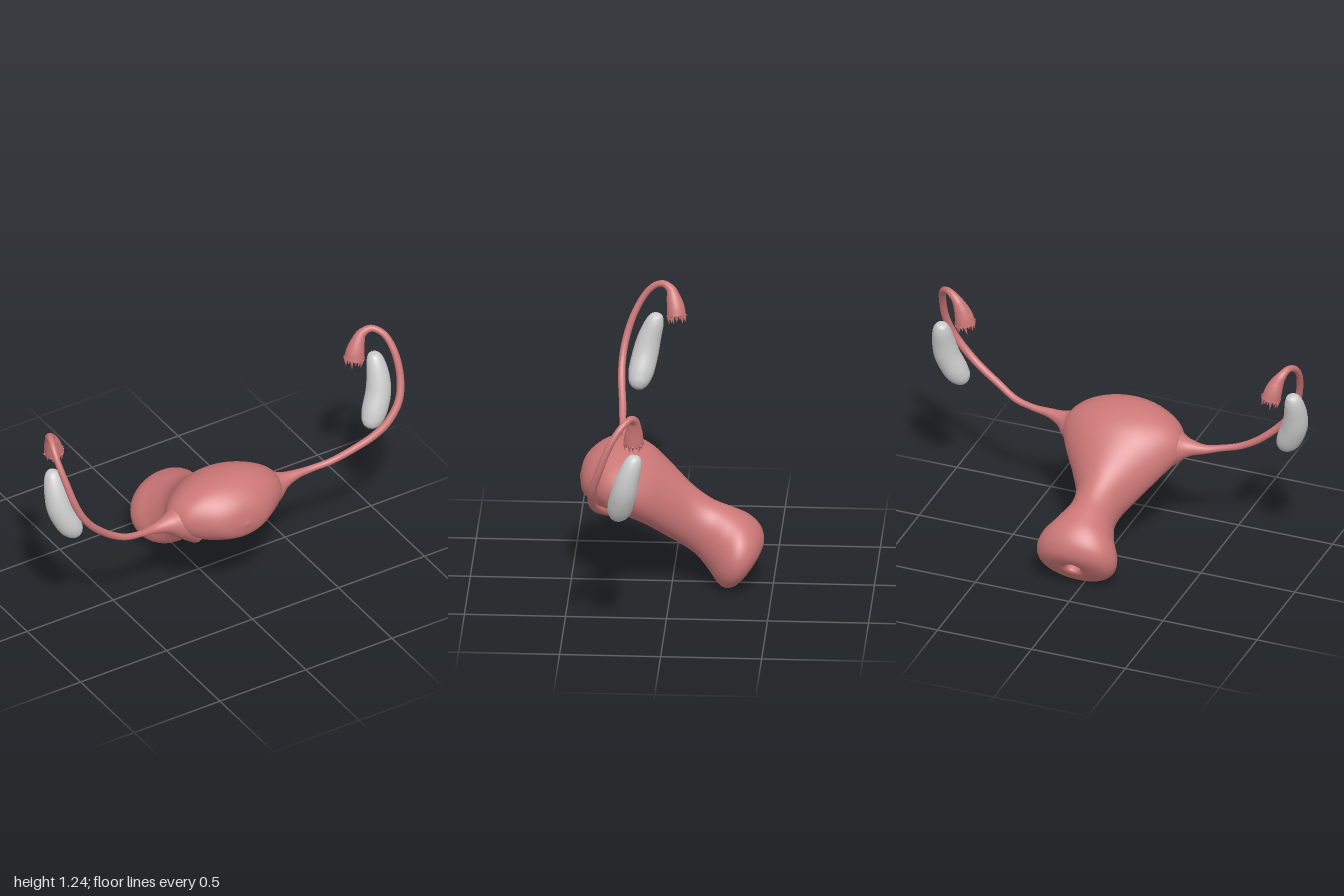
import * as THREE from 'three';
import { mergeVertices } from 'three/addons/utils/BufferGeometryUtils.js';

const pink = new THREE.MeshStandardMaterial({ color: 0xcc7777, side: THREE.DoubleSide });
const grey = new THREE.MeshStandardMaterial({ color: 0xcccccc });

// Smooth curve whose parameter runs evenly over its control points
function spline(points) {
  const c = new THREE.CatmullRomCurve3(points.map(p => new THREE.Vector3(...p)), false, 'catmullrom', 0.5);
  c.getPointAt = (t, v) => c.getPoint(t, v);
  c.getTangentAt = (t, v) => c.getTangent(t, v);
  return c;
}

function mesh(name, geometry, material) {
  const m = new THREE.Mesh(geometry, material);
  m.name = name;
  return m;
}

// Tube of changing thickness; every control point is [x, y, z, radius]
function sweep(points, steps, sides) {
  const path = spline(points.map(p => p.slice(0, 3)));
  const radius = spline(points.map(p => [p[3], 0, 0]));
  const geo = new THREE.TubeGeometry(path, steps, 1, sides, false);
  const pos = geo.attributes.position, nor = geo.attributes.normal;
  const n = new THREE.Vector3();
  for (let i = 0; i < pos.count; i++) {
    const t = Math.floor(i / (sides + 1)) / steps;
    const r = Math.max(0.0005, radius.getPoint(t).x);
    const p = path.getPoint(t).addScaledVector(n.fromBufferAttribute(nor, i), r);
    pos.setXYZ(i, p.x, p.y, p.z);
  }
  geo.deleteAttribute('uv');
  geo.deleteAttribute('normal');
  const welded = mergeVertices(geo, 1e-5);
  welded.computeVertexNormals();
  return welded;
}

// Body and neck: elliptical sections [topZ, topY, bottomZ, bottomY, halfWidth, centreX]
function bodyGeometry() {
  const s = [
    [0.458, 0.556, 0.458, 0.554, 0.004, 0],
    [0.435, 0.64, 0.44, 0.485, 0.12, 0],
    [0.38, 0.7, 0.39, 0.445, 0.21, 0],
    [0.3, 0.735, 0.33, 0.42, 0.285, 0],
    [0.2, 0.733, 0.22, 0.385, 0.315, 0],
    [0.1, 0.695, 0.13, 0.335, 0.27, 0],
    [0, 0.61, 0.04, 0.27, 0.195, 0],
    [-0.1, 0.515, -0.05, 0.21, 0.13, 0.005],
    [-0.2, 0.445, -0.12, 0.16, 0.118, 0.012],
    [-0.3, 0.405, -0.18, 0.09, 0.155, 0.022],
    [-0.38, 0.365, -0.22, 0.035, 0.2, 0.027],
    [-0.435, 0.31, -0.255, 0.007, 0.205, 0.027],
    [-0.455, 0.25, -0.3, 0.012, 0.17, 0.027],
    [-0.445, 0.2, -0.345, 0.055, 0.1, 0.027],
    // opening folded into the neck
    [-0.41, 0.16, -0.365, 0.095, 0.045, 0.027],
    [-0.36, 0.165, -0.33, 0.12, 0.03, 0.027],
    [-0.3, 0.19, -0.295, 0.185, 0.004, 0.027],
  ];
  const top = spline(s.map(a => [0, a[1], a[0]]));
  const bottom = spline(s.map(a => [0, a[3], a[2]]));
  const width = spline(s.map(a => [a[4], a[5], 0]));
  const rings = 128, sides = 64, pos = [], index = [];
  for (let i = 0; i <= rings; i++) {
    const t = i / rings, T = top.getPoint(t), B = bottom.getPoint(t), w = width.getPoint(t);
    const c = T.clone().add(B).multiplyScalar(0.5), h = T.clone().sub(B).multiplyScalar(0.5);
    for (let j = 0; j < sides; j++) {
      const a = (j / sides) * Math.PI * 2;
      pos.push(w.y + w.x * Math.sin(a), c.y + h.y * Math.cos(a), c.z + h.z * Math.cos(a));
      if (i === rings) continue;
      const k = i * sides + j, k1 = i * sides + (j + 1) % sides;
      index.push(k, k1, k + sides, k1, k1 + sides, k + sides);
    }
  }
  const geo = new THREE.BufferGeometry();
  geo.setAttribute('position', new THREE.Float32BufferAttribute(pos, 3));
  geo.setIndex(index);
  geo.computeVertexNormals();
  return geo;
}

// Ragged fringe of little fingers round the mouth of a tube
function fringe(points) {
  const g = new THREE.Group();
  g.name = 'fringe';
  const e = points[points.length - 1], p = points[points.length - 2];
  g.position.set(e[0], e[1], e[2]);
  const dir = new THREE.Vector3(e[0] - p[0], e[1] - p[1], e[2] - p[2]).normalize();
  g.quaternion.setFromUnitVectors(new THREE.Vector3(0, -1, 0), dir);
  const mouth = mesh('mouth', new THREE.SphereGeometry(e[3], 24, 12), pink);
  mouth.scale.y = 0.25;
  g.add(mouth);
  const count = 16;
  for (let i = 0; i < count; i++) {
    const a = (i / count) * Math.PI * 2, len = 0.035 + 0.014 * Math.sin(i * 2.4);
    const finger = mesh('finger', new THREE.ConeGeometry(0.009, len, 8), pink);
    const r = e[3] * 0.9;
    finger.position.set(Math.cos(a) * r, -len * 0.42, Math.sin(a) * r);
    finger.rotation.set(Math.PI + 0.2 * Math.sin(i * 3.1), 0, 0.2 * Math.cos(i * 1.7));
    g.add(finger);
  }
  return g;
}

export function createModel() {
  const model = new THREE.Group();
  model.name = 'uterus';
  model.add(mesh('body', bodyGeometry(), pink));

  // Tubes differ a little from side to side
  const tubes = {
    left: [
      [0.2, 0.55, 0.235, 0.13], [0.28, 0.555, 0.24, 0.085], [0.34, 0.57, 0.248, 0.043],
      [0.41, 0.583, 0.255, 0.024], [0.5, 0.59, 0.262, 0.017], [0.6, 0.607, 0.28, 0.017],
      [0.7, 0.655, 0.31, 0.018], [0.8, 0.71, 0.335, 0.019], [0.88, 0.775, 0.347, 0.02],
      [0.95, 0.87, 0.338, 0.02], [0.981, 0.98, 0.305, 0.019], [0.98, 1.1, 0.26, 0.018],
      [0.955, 1.19, 0.205, 0.017], [0.907, 1.224, 0.16, 0.017], [0.86, 1.2, 0.14, 0.024],
      [0.835, 1.155, 0.14, 0.036], [0.82, 1.11, 0.143, 0.046], [0.813, 1.07, 0.145, 0.05],
    ],
    right: [
      [-0.2, 0.54, 0.235, 0.13], [-0.28, 0.55, 0.24, 0.085], [-0.34, 0.555, 0.243, 0.046],
      [-0.42, 0.56, 0.248, 0.024], [-0.5, 0.575, 0.265, 0.017], [-0.6, 0.602, 0.28, 0.017],
      [-0.7, 0.66, 0.287, 0.018], [-0.8, 0.75, 0.298, 0.018], [-0.86, 0.83, 0.297, 0.018],
      [-0.9, 0.92, 0.283, 0.018], [-0.927, 1.03, 0.25, 0.017], [-0.943, 1.13, 0.2, 0.016],
      [-0.94, 1.19, 0.15, 0.016], [-0.925, 1.212, 0.1, 0.017], [-0.905, 1.19, 0.06, 0.024],
      [-0.885, 1.15, 0.045, 0.036], [-0.872, 1.11, 0.035, 0.044], [-0.862, 1.07, 0.03, 0.047],
    ],
  };
  for (const [side, points] of Object.entries(tubes)) {
    const g = new THREE.Group();
    g.name = side + 'Tube';
    g.add(mesh('tube', sweep(points, 170, 24), pink), fringe(points));
    model.add(g);
  }

  // Bean-shaped ovaries, mirrored
  for (const s of [1, -1]) {
    const bean = [
      [0.93, 1.049, 0.124, 0], [0.932, 1.038, 0.127, 0.028], [0.937, 1, 0.142, 0.046],
      [0.937, 0.92, 0.168, 0.058], [0.925, 0.84, 0.187, 0.064], [0.89, 0.755, 0.207, 0.063],
      [0.863, 0.71, 0.219, 0.05], [0.847, 0.686, 0.225, 0.028], [0.842, 0.679, 0.227, 0],
    ].map(p => [p[0] * s, p[1], p[2], p[3]]);
    model.add(mesh(s > 0 ? 'leftOvary' : 'rightOvary', sweep(bean, 64, 32), grey));
  }
  return model;
}
